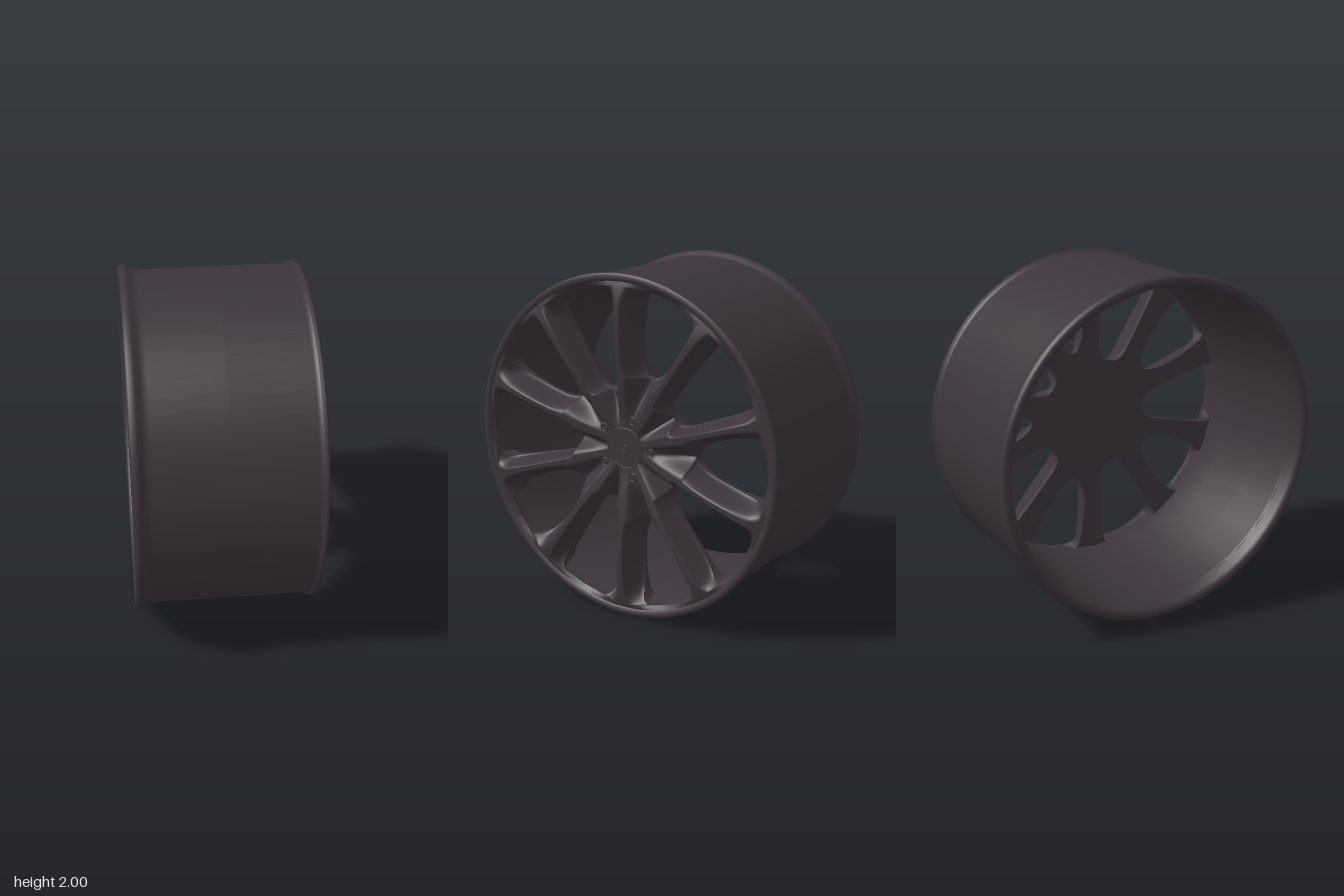
import * as THREE from 'three';
import { toCreasedNormals } from 'three/addons/utils/BufferGeometryUtils.js';

const STEP = Math.PI / 5;
const OPEN_END = 0.92;
const metal = new THREE.MeshStandardMaterial({ color: 0x3c343a });
metal.name = 'dark gunmetal';

// Radius stations, denser around the inner tips of the openings
const ROWS = [0.1, 0.13, 0.16, 0.19, 0.22, 0.25, 0.28, 0.31, 0.33, 0.34, 0.342, 0.346, 0.352, 0.36, 0.375, 0.39, 0.41,
  0.42, 0.422, 0.426, 0.432, 0.445, 0.46, 0.48, 0.5, 0.55, 0.6, 0.65, 0.7, 0.75, 0.8, 0.83, 0.85, 0.87, 0.885,
  0.9, 0.91, 0.917, OPEN_END, OPEN_END + 0.0001, 0.945];

// Smooth curve through [radius, value] points
function curve(points) {
  const spline = new THREE.CubicInterpolant(points.map(p => p[0]), points.map(p => p[1]), 1);
  return r => spline.evaluate(r)[0];
}

// Height (x) of the spoke crest and of the valley beside each kind of opening
const crest = curve([[0.1, 0.44], [0.15, 0.446], [0.25, 0.468], [0.4, 0.495], [0.55, 0.512], [0.7, 0.52],
  [0.85, 0.516], [0.91, 0.504], [0.945, 0.494]]);
const OUTER_FLOOR = [[0.6, 0.355], [0.75, 0.37], [0.85, 0.405], [0.9, 0.455], [0.945, 0.494]];
// Width is the half width of the opening, by the root of the distance past its tip
const KINDS = [
  {
    tip: 0.42,
    width: curve([[0, 0], [0.1, 0.026], [0.2, 0.052], [0.283, 0.08], [0.424, 0.118], [0.53, 0.145], [0.616, 0.162], [0.71, 0.17]]),
    floor: curve([[0.1, 0.44], [0.19, 0.44], [0.26, 0.42], [0.34, 0.385], [0.42, 0.362], ...OUTER_FLOOR]),
  },
  {
    tip: 0.34,
    width: curve([[0, 0], [0.07, 0.03], [0.141, 0.057], [0.245, 0.084], [0.4, 0.114], [0.51, 0.139], [0.6, 0.163], [0.678, 0.185], [0.765, 0.205]]),
    floor: curve([[0.1, 0.437], [0.16, 0.428], [0.25, 0.395], [0.34, 0.367], [0.45, 0.356], ...OUTER_FLOOR]),
  },
];
const backX = r => 0.3 + 0.05 * r;

// Half angle of an opening at radius r, with rounded outer corners
function openingAngle(kind, r) {
  if (r <= kind.tip || r > OPEN_END) return 0;
  const s = Math.max(0, (r - OPEN_END + 0.08) / 0.08);
  const w = kind.width(Math.sqrt(r - kind.tip)) - 0.06 * (1 - Math.sqrt(Math.max(0, 1 - s * s)));
  return Math.asin(w / r);
}

const polar = (r, angle, x) => [x, r * Math.sin(angle), -r * Math.cos(angle)];

function grid(rows, cols, point, flip) {
  const pos = [], index = [];
  for (const r of rows) for (const c of cols) pos.push(...point(r, c));
  const n = cols.length;
  for (let i = 0; i < rows.length - 1; i++) {
    for (let j = 0; j < n - 1; j++) {
      const a = i * n + j, b = a + n, c = b + 1, d = a + 1;
      if (flip) index.push(a, c, b, a, d, c);
      else index.push(a, b, c, a, c, d);
    }
  }
  const g = new THREE.BufferGeometry();
  g.setAttribute('position', new THREE.Float32BufferAttribute(pos, 3));
  g.setIndex(index);
  g.computeVertexNormals();
  return g;
}

function add(parent, name, geometry) {
  const mesh = new THREE.Mesh(geometry, metal);
  mesh.name = name;
  parent.add(mesh);
}

// One spoke sector: crest, sloping flanks, opening walls and back
function makeSpoke(k) {
  const spoke = new THREE.Group();
  spoke.name = 'spoke';
  const centre = (k + 0.5) * STEP;
  const lower = KINDS[k % 2], upper = KINDS[(k + 1) % 2];
  const kindAt = v => (v < 0 ? lower : upper);
  const angleAt = (r, v) => centre + v * (STEP / 2 - openingAngle(kindAt(v), r));
  const frontX = (r, v) => {
    const drop = THREE.MathUtils.smoothstep(Math.abs(v), 0.22, 1);
    return THREE.MathUtils.lerp(crest(r), kindAt(v).floor(r), drop);
  };
  const across = Array.from({ length: 25 }, (_, i) => i / 12 - 1);
  add(spoke, 'spokeFront', grid(ROWS, across, (r, v) => polar(r, angleAt(r, v), frontX(r, v)), false));
  add(spoke, 'spokeBack', grid(ROWS, across, (r, v) => polar(r, angleAt(r, v), backX(r)), true));
  for (const side of [-1, 1]) {
    const rows = ROWS.filter(r => r >= kindAt(side).tip && r < 0.93);
    const wall = grid(rows, [0, 0.5, 1], (r, t) =>
      polar(r, angleAt(r, side), THREE.MathUtils.lerp(frontX(r, side), backX(r), t)), side < 0);
    add(spoke, 'openingWall', toCreasedNormals(wall, 0.8));
  }
  return spoke;
}

function lathe(profile, segments) {
  return new THREE.LatheGeometry(profile.map(p => new THREE.Vector2(...p)), segments).rotateZ(-Math.PI / 2);
}

// Disc or drum along x, from x0 to x1
function drum(radius, x0, x1, segments) {
  return new THREE.CylinderGeometry(radius, radius, x1 - x0, segments)
    .rotateZ(-Math.PI / 2).translate((x0 + x1) / 2, 0, 0);
}

export function createModel() {
  const model = new THREE.Group();
  model.name = 'wheelRim';
  const wheel = new THREE.Group();
  wheel.name = 'wheel';
  wheel.position.y = 1;
  model.add(wheel);

  // Barrel with a thick back flange and a thin front lip
  add(wheel, 'barrel', lathe([[0.918, -0.43], [0.925, -0.46], [0.935, -0.5], [0.95, -0.517], [0.965, -0.522],
    [0.982, -0.52], [0.995, -0.51], [1, -0.49], [0.995, -0.475], [0.98, -0.455], [0.971, -0.44], [0.969, -0.42],
    [0.969, -0.4], [0.97, 0], [0.969, 0.45], [0.971, 0.472], [0.983, 0.478], [0.988, 0.487], [0.985, 0.498],
    [0.97, 0.504], [0.955, 0.502], [0.943, 0.494], [0.936, 0.48]], 96));
  // Faceted lining that narrows towards the spokes
  add(wheel, 'barrelLining', toCreasedNormals(
    lathe([[0.928, 0.47], [0.895, 0.34], [0.891, 0.15], [0.905, -0.15], [0.925, -0.45]], 32), 0.5));

  for (let k = 0; k < 10; k++) wheel.add(makeSpoke(k));

  // Hub with a centre cap, a fine seam and a small pin
  add(wheel, 'hub', drum(0.108, 0.305, 0.436, 48));
  add(wheel, 'centreCap', drum(0.112, 0.42, 0.446, 48));
  add(wheel, 'capSeam', new THREE.TorusGeometry(0.115, 0.004, 6, 48).rotateY(Math.PI / 2).translate(0.442, 0, 0));
  add(wheel, 'capPin', new THREE.TorusGeometry(0.016, 0.004, 6, 20).rotateY(Math.PI / 2).translate(0.446, 0, 0));

  // Five wheel bolts
  for (let i = 0; i < 5; i++) {
    const bolt = new THREE.Group();
    bolt.name = 'bolt';
    bolt.position.set(...polar(0.172, i * 2 * STEP, 0));
    add(bolt, 'boltHead', drum(0.018, 0.42, 0.447, 16));
    add(bolt, 'boltSeat', new THREE.TorusGeometry(0.022, 0.005, 6, 20).rotateY(Math.PI / 2).translate(0.444, 0, 0));
    wheel.add(bolt);
  }
  return model;
}
